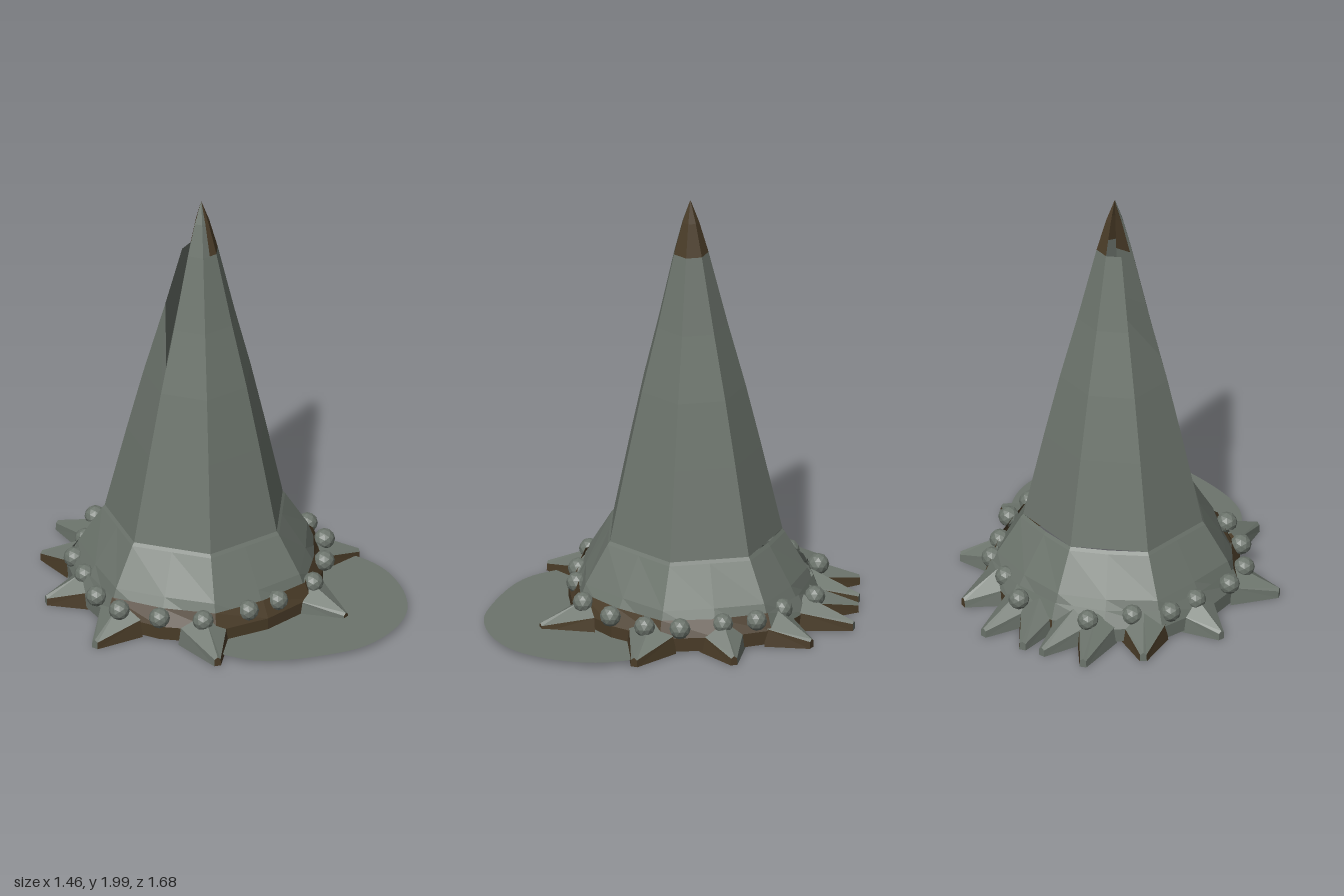
import * as THREE from 'three';

const CZ = -0.1; // centre of the seven-sided plan
const FLAT = Math.cos(Math.PI / 7); // middle of a straight side
const stone = new THREE.MeshStandardMaterial({ color: 0x6c746c, side: THREE.DoubleSide });
stone.name = 'stone grey';
const rust = new THREE.MeshStandardMaterial({ color: 0x4a3c28, side: THREE.DoubleSide });
rust.name = 'rusty brown';

// Faceted geometry from a list of polygons (corners counter-clockwise from outside)
function faceted(polys) {
  const pos = [];
  for (const p of polys)
    for (let i = 1; i < p.length - 1; i++) pos.push(...p[0], ...p[i], ...p[i + 1]);
  const g = new THREE.BufferGeometry();
  g.setAttribute('position', new THREE.Float32BufferAttribute(pos, 3));
  g.computeVertexNormals();
  return g;
}

function add(group, name, polys, material) {
  if (!polys.length) return;
  const m = new THREE.Mesh(faceted(polys), material);
  m.name = name;
  group.add(m);
}

// Corner k of the heptagon at height y; half steps are side middles, bulged outward near the rim
function corner(k, [y, r, bulge = FLAT]) {
  const a = ((k + 0.5) * Math.PI * 2) / 7;
  const lean = 0.02 * Math.max(0, (y - 0.4) / 1.6);
  const back = THREE.MathUtils.lerp(1, 0.95, Math.max(0, 1 - Math.abs(k - 3)));
  const rad = r * (Number.isInteger(k) ? back : bulge);
  return [Math.sin(a) * rad + lean * 0.5, y, Math.cos(a) * rad + CZ + lean];
}

// Strip between corners a and b, for a profile running from top to bottom
function strip(a, b, rows) {
  const out = [];
  for (let i = 0; i < rows.length - 1; i++)
    out.push([corner(a, rows[i]), corner(a, rows[i + 1]), corner(b, rows[i + 1]), corner(b, rows[i])]);
  return out;
}
const panel = (k, rows) => strip(k - 1, k, rows);
const roundPanel = (k, rows) => [...strip(k - 1, k - 0.5, rows), ...strip(k - 0.5, k, rows)];

// Tapered spike: grey above, brown on most flanks and below
function spike(group, tx, tz, bx, bz, w) {
  const d = new THREE.Vector2(tx - bx, tz - bz).normalize();
  const at = (x, z, side, y) => [x - d.y * side, y, z + d.x * side];
  const ridge = at(bx, bz, 0, 0.155);
  const tl = at(bx, bz, -w, 0.1), tr = at(bx, bz, w, 0.1);
  const bl = at(bx, bz, -w * 1.1, 0.015), br = at(bx, bz, w * 1.1, 0.015);
  const et = at(tx, tz, 0, 0.055);
  const el = at(tx, tz, -0.014, 0.045), er = at(tx, tz, 0.014, 0.045);
  const fl = at(tx, tz, -0.016, 0.012), fr = at(tx, tz, 0.016, 0.012);
  const grey = [[tl, el, et, ridge], [ridge, et, er, tr]].map((p) => p.reverse());
  const brown = [];
  const place = (poly, isBrown) => (isBrown ? brown : grey).push(poly);
  place([bl, br, fr, fl], bz > -0.4);
  place([tl, bl, fl, el], d.y - d.x > -0.6);
  place([tr, er, fr, br], d.x - d.y > -0.6);
  place([el, fl, fr, er, et], d.x + d.y > -0.5);
  add(group, 'spikeTop', grey, stone);
  add(group, 'spikeRust', brown, rust);
}

export function createModel() {
  const model = new THREE.Group();
  model.name = 'spikedCone';

  // Tall cone with a torn opening behind, slanting down one facet
  const tip = [[2, 0.002], [1.9, 0.04], [1.75, 0.083]];
  const upper = [[1.75, 0.083], [1.4, 0.17], [1.1, 0.25]];
  const lower = [[1.1, 0.25], [0.8, 0.322], [0.39, 0.416]];
  const skirt = [[0.39, 0.416], [0.375, 0.428], [0.2, 0.535, 0.92], [0.07, 0.585, 0.96]];
  const lining = [[1.99, 0.002], [1.88, 0.036], [1.7, 0.083]];
  const shaft = [], base = [], tipGrey = [], tipBrown = [];
  for (let k = 0; k < 7; k++) {
    shaft.push(...panel(k, lower));
    if (k !== 5) shaft.push(...panel(k, upper));
    base.push(...roundPanel(k, skirt));
    if (k >= 1 && k <= 3) tipBrown.push(...panel(k, tip));
  }
  shaft.push([
    corner(4, [1.46, 0.155]), corner(4, [1.1, 0.25]), corner(5, [1.1, 0.25]), corner(5, [1.22, 0.218]),
  ]);
  tipGrey.push(...panel(6, tip), ...strip(-1, -0.5, tip));
  tipBrown.push(...strip(-0.5, 0, tip), ...panel(0, lining), ...panel(6, lining));
  add(model, 'coneShaft', shaft, stone);
  add(model, 'flaredSkirt', base, stone);
  add(model, 'tipFront', tipGrey, stone);
  add(model, 'tipRust', tipBrown, rust);

  // Rim band, rusty at the front and one side
  const rimTop = [[0.165, 0.562, 0.945], [0.09, 0.592, 0.965]];
  const rimLow = [[0.09, 0.592, 0.965], [0.025, 0.59, 0.965], [0.025, 0.56, 0.965], [0.07, 0.56, 0.965]];
  const rimGrey = [], rimBrown = [];
  for (let k = 0; k < 7; k++) {
    (k >= 3 && k <= 5 ? rimGrey : rimBrown).push(...roundPanel(k, rimTop));
    (k === 4 || k === 5 ? rimGrey : rimBrown).push(...roundPanel(k, rimLow));
  }
  add(model, 'rimBack', rimGrey, stone);
  add(model, 'rimFront', rimBrown, rust);

  // Spikes around the rim: tip x, z, base x, z and half width, mirrored
  const spikes = new THREE.Group();
  spikes.name = 'spikes';
  for (const [tx, tz, bx, bz, w] of [
    [0.26, -0.83, 0.2, -0.6, 0.085], [0.05, -0.84, 0.09, -0.62, 0.085], [0.47, -0.65, 0.38, -0.49, 0.1],
    [0.68, -0.31, 0.51, -0.25, 0.1], [0.72, 0.14, 0.53, 0.07, 0.11], [0.35, 0.58, 0.28, 0.37, 0.11],
  ])
    for (const s of [1, -1]) spike(spikes, tx * s, tz, bx * s, bz, w);
  model.add(spikes);

  // Faceted studs above the spikes
  const studs = new THREE.Group();
  studs.name = 'studs';
  const studShape = new THREE.IcosahedronGeometry(0.048, 1);
  studShape.computeVertexNormals();
  for (const [x, z] of [
    [0.08, 0.43], [0.3, 0.39], [0.45, 0.26], [0.56, 0.1], [0.575, -0.06],
    [0.51, -0.25], [0.465, -0.4], [0.33, -0.51], [0.18, -0.65],
  ])
    for (const s of [1, -1]) {
      const stud = new THREE.Mesh(studShape, stone);
      stud.name = 'stud';
      stud.position.set(x * s, 0.14, z);
      studs.add(stud);
    }
  model.add(studs);

  // Flat rounded plate on the ground, reaching out from the front rim
  const outer = [
    [0.57, -0.02], [0.66, 0.09], [0.72, 0.24], [0.73, 0.38], [0.69, 0.55], [0.6, 0.7], [0.45, 0.8],
    [0.27, 0.84], [0.1, 0.81], [-0.1, 0.735], [-0.22, 0.65], [-0.3, 0.53],
  ].map(([x, z]) => new THREE.Vector2(x, -z));
  const edge = new THREE.SplineCurve(outer).getPoints(48);
  const inner = [[-0.26, 0.42], [0.25, 0.42], [0.44, 0.26], [0.55, 0.06]].map(([x, z]) => new THREE.Vector2(x, -z));
  const plate = new THREE.Mesh(new THREE.ShapeGeometry(new THREE.Shape([...edge, ...inner])), stone);
  plate.name = 'groundPlate';
  plate.rotation.x = -Math.PI / 2;
  plate.position.y = 0.033;
  model.add(plate);

  return model;
}
